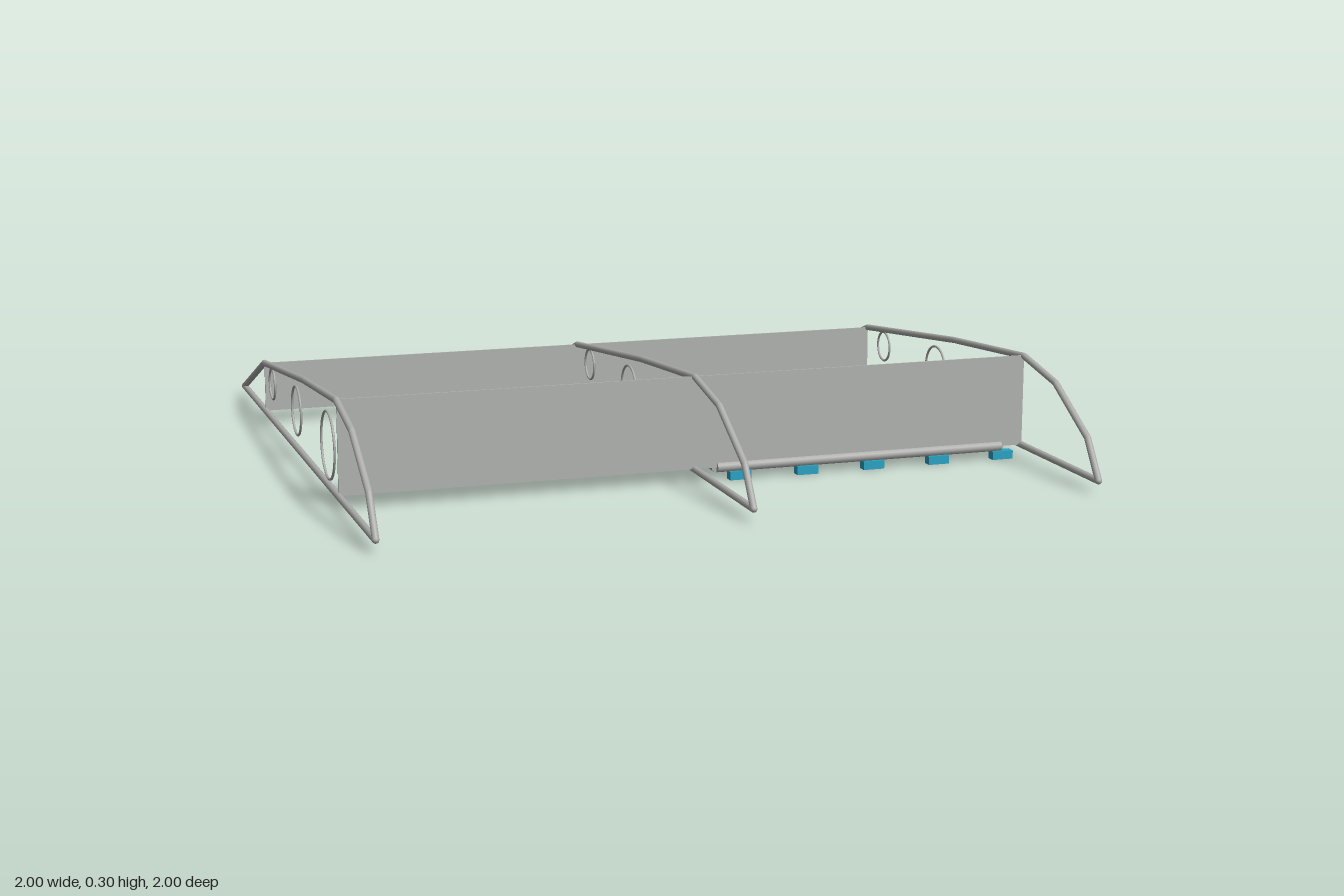
import * as THREE from 'three';

const V = (x, y, z) => new THREE.Vector3(x, y, z);

export function createModel() {
  const model = new THREE.Group();
  model.name = 'wingFrame';

  const tubeGrey = new THREE.MeshStandardMaterial({ color: 0xadadab });
  tubeGrey.name = 'tube grey';
  const sparGrey = new THREE.MeshStandardMaterial({ color: 0xb0b3b0 });
  sparGrey.name = 'spar grey';
  const blue = new THREE.MeshStandardMaterial({ color: 0x2aa3c4 });
  blue.name = 'clip blue';

  function add(parent, geometry, material, name, x = 0, y = 0, z = 0) {
    const mesh = new THREE.Mesh(geometry, material);
    mesh.name = name;
    mesh.position.set(x, y, z);
    parent.add(mesh);
    return mesh;
  }

  // Straight round rod between two points
  function rod(parent, a, b, radius, name) {
    const dir = b.clone().sub(a);
    const mesh = add(parent, new THREE.CylinderGeometry(radius, radius, dir.length(), 12), tubeGrey, name);
    mesh.position.copy(a).add(b).multiplyScalar(0.5);
    mesh.quaternion.setFromUnitVectors(V(0, 1, 0), dir.normalize());
  }

  // Rib outline as [z, y], nose to tail
  const outline = [
    [0.99, 0.036], [0.92, 0.14], [0.725, 0.254], [0.53, 0.294],
    [0.065, 0.258], [-0.595, 0.184], [-0.99, 0.036],
  ];
  // Lightening rings as [z, radius]
  const rings = [[0.397, 0.092], [-0.063, 0.07], [-0.46, 0.046]];

  for (const [x, label] of [[-0.99, 'right'], [0, 'middle'], [0.99, 'left']]) {
    const rib = new THREE.Group();
    rib.name = label + 'Rib';
    rib.position.x = x;
    model.add(rib);
    outline.forEach(([z, y], i) => {
      const [z2, y2] = outline[(i + 1) % outline.length];
      const name = i === outline.length - 1 ? 'lowerChord' : 'upperChord';
      rod(rib, V(0, y, z), V(0, y2, z2), 0.0095, name);
      add(rib, new THREE.SphereGeometry(0.0095, 12, 8), tubeGrey, 'chordJoint', 0, y, z);
    });
    for (const [z, r] of rings) {
      const ring = add(rib, new THREE.TorusGeometry(r, 0.0035, 8, 40), tubeGrey, 'ribRing', 0, 0.145, z);
      ring.rotation.y = Math.PI / 2;
    }
  }

  // Full-span spar webs
  for (const [z, top, name] of [[0.527, 0.296, 'frontSpar'], [-0.595, 0.184, 'rearSpar']]) {
    const height = top - 0.036;
    add(model, new THREE.BoxGeometry(1.98, height, 0.005), sparGrey, name, 0, 0.036 + height / 2, z);
  }

  // Rectangular rod frame in the left bay
  const frame = new THREE.Group();
  frame.name = 'bayFrame';
  model.add(frame);
  const y = 0.036, zF = 0.525, zR = -0.597;
  for (const x of [0.065, 0.921]) rod(frame, V(x, y, zR), V(x, y, zF), 0.0145, 'sideRail');
  rod(frame, V(0.065, y, zF), V(0.925, y, zF), 0.0145, 'frontRail');
  rod(frame, V(0.065, y, zR), V(0.925, y, zR), 0.0145, 'rearRail');

  // Clips under the rails: blue in front, grey behind
  for (let i = 0; i < 5; i++) {
    const x = 0.13 + i * 0.199;
    const clip = new THREE.BoxGeometry(0.062, 0.024, 0.028);
    add(frame, clip, blue, 'frontClip', x, 0.012, 0.529);
    add(frame, clip, tubeGrey, 'rearClip', x, 0.012, -0.597);
  }

  return model;
}
